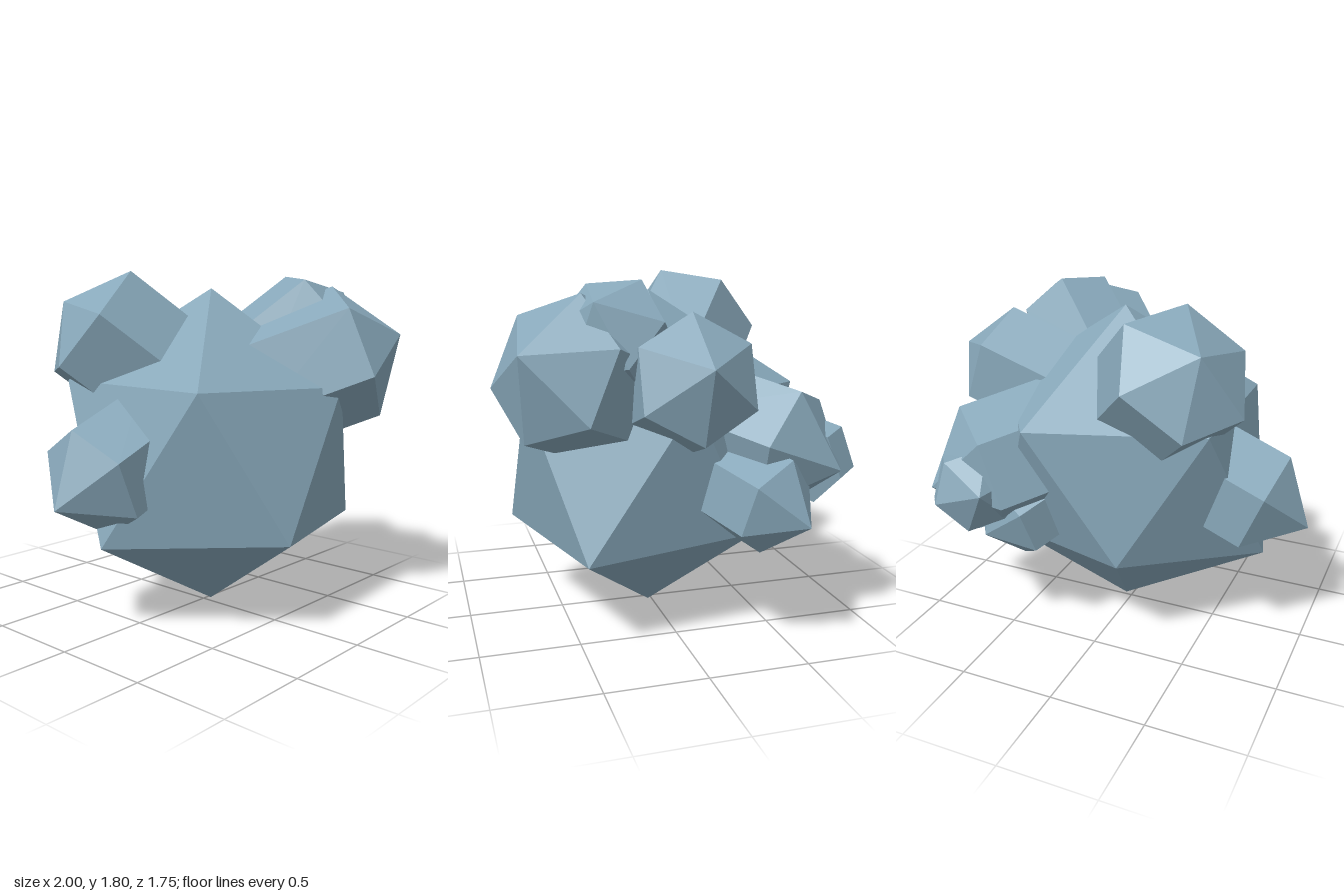
import * as THREE from 'three';
import { ConvexGeometry } from 'three/addons/geometries/ConvexGeometry.js';

const material = new THREE.MeshStandardMaterial({ color: 0x88a8ba, flatShading: true });

// Slightly uneven twenty-sided core standing on one corner
const coreCorners = [
  [0.04, 1.72, 0.02], [0.04, 0, 0.02],
  // upper ring
  [0.76, 1.24, 0], [0.26, 1.22, 0.71], [-0.56, 1.235, 0.46], [-0.58, 1.245, -0.43], [0.27, 1.24, -0.7],
  // lower ring
  [0.68, 0.465, 0.49], [-0.2, 0.485, 0.735], [-0.765, 0.455, 0.01], [-0.17, 0.54, -0.585], [0.6, 0.53, -0.37],
];

// Six-sided crystal: center is the middle of its shoulder, axis points to the tip,
// corner points from the center towards one shoulder corner
function makeCrystal({ name, center, axis, corner, radius, tip, depth }) {
  const profile = [[0, -depth], [radius, -depth], [radius, 0], [0, tip]]
    .map(([x, y]) => new THREE.Vector2(x, y));
  const mesh = new THREE.Mesh(new THREE.LatheGeometry(profile, 6), material);
  const up = new THREE.Vector3(...axis).normalize();
  const out = new THREE.Vector3(...corner).projectOnPlane(up).normalize();
  const across = new THREE.Vector3().crossVectors(up, out);
  mesh.quaternion.setFromRotationMatrix(new THREE.Matrix4().makeBasis(across, up, out));
  mesh.position.set(...center);
  mesh.name = name;
  return mesh;
}

const crystals = [
  { name: 'upperRightBackCrystal', center: [-0.44, 1.54, -0.40], axis: [-0.6, 0.615, -0.52],
    corner: [0.07, 0.27, 0.22], radius: 0.356, tip: 0.18, depth: 0.6 },
  { name: 'upperFrontCrystal', center: [0.54, 1.39, 0.615], axis: [0.15, 0.085, 0.175],
    corner: [-0.27, 0.225, 0.11], radius: 0.37, tip: 0.25, depth: 0.6 },
  { name: 'topCrystal', center: [0.545, 1.585, 0.36], axis: [0.65, 0.6, 0.47],
    corner: [-0.055, 0.2, -0.18], radius: 0.277, tip: 0.19, depth: 0.5 },
  { name: 'leftCrystal', center: [0.79, 1.355, -0.005], axis: [0.95, 0.317, 0],
    corner: [-0.1, 0.295, 0], radius: 0.311, tip: 0.22, depth: 0.55 },
  { name: 'rightCrystal', center: [-0.77, 0.775, -0.045], axis: [-0.92, -0.38, 0],
    corner: [-0.1, 0.27, 0], radius: 0.3, tip: 0.25, depth: 0.5 },
  { name: 'leftBackCrystal', center: [0.594, 0.94, -0.56], axis: [0.69, -0.23, -0.66],
    corner: [0.116, 0.32, 0.005], radius: 0.34, tip: 0.27, depth: 0.55 },
  { name: 'lowerLeftCrystal', center: [0.785, 0.72, -0.405], axis: [0.83, -0.28, -0.48],
    corner: [0.105, 0.25, -0.095], radius: 0.25, tip: 0.21, depth: 0.5 },
  { name: 'smallBackCrystal', center: [0.51, 0.91, -0.74], axis: [-0.6, 0.17, -0.78],
    corner: [0.16, -0.05, -0.14], radius: 0.215, tip: 0.14, depth: 0.16 },
  { name: 'lowerBackCrystal', center: [0.45, 0.68, -0.56], axis: [0.5, -0.35, -0.8],
    corner: [0, -1, 0], radius: 0.235, tip: 0.15, depth: 0.4 },
];

export function createModel() {
  const group = new THREE.Group();
  group.name = 'crystalRock';

  const corners = coreCorners.map((p) => new THREE.Vector3(...p));
  const core = new THREE.Mesh(new ConvexGeometry(corners), material);
  core.name = 'coreRock';
  group.add(core);

  for (const crystal of crystals) group.add(makeCrystal(crystal));
  return group;
}
